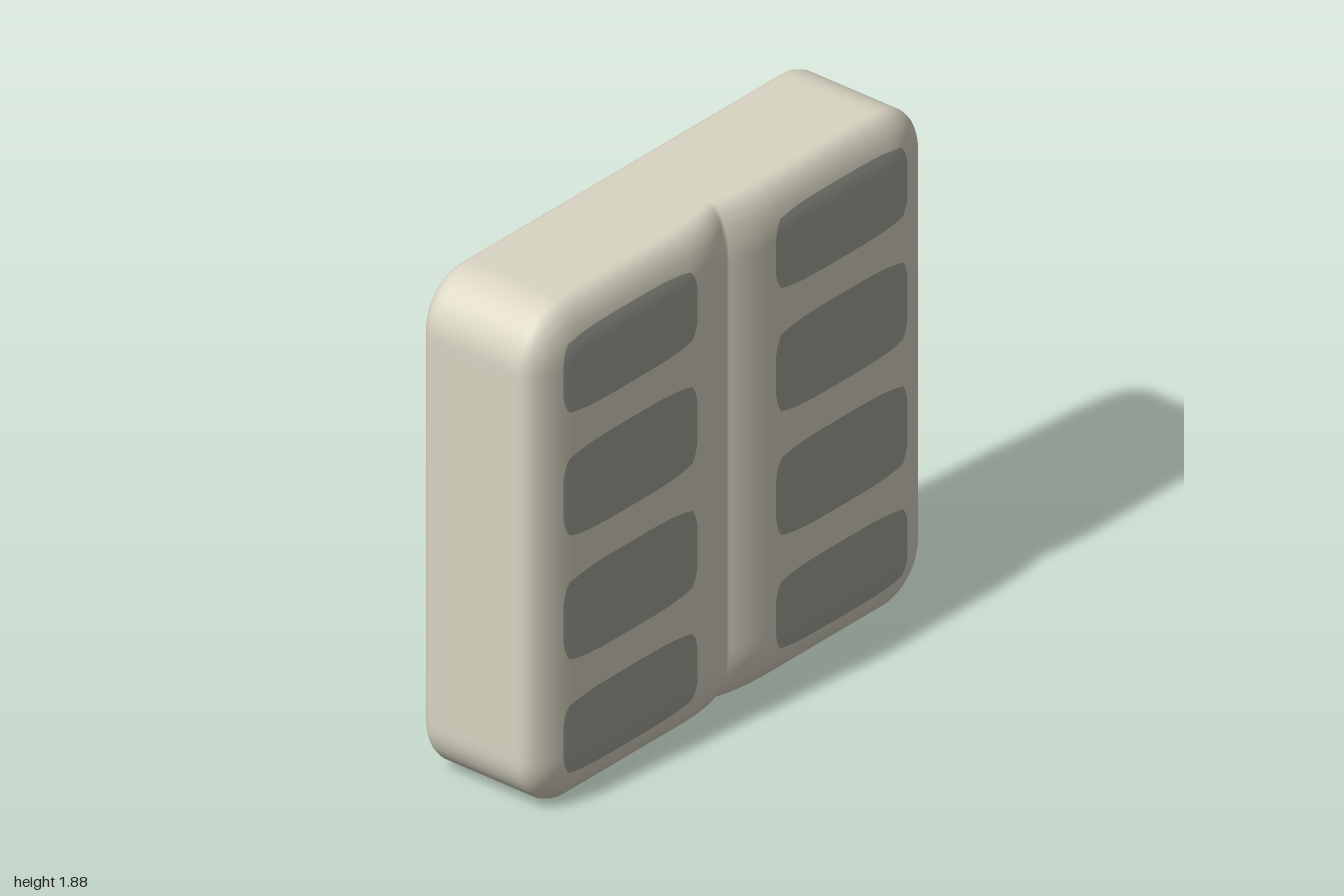
import * as THREE from 'three';
import { mergeVertices } from 'three/addons/utils/BufferGeometryUtils.js';

const HALF = new THREE.Vector3(0.277, 0.94, 1);   // half sizes of the block
const RAD = new THREE.Vector3(0.09, 0.2, 0.2);    // elliptical edge rounding
const CORE = HALF.clone().sub(RAD);

// Depth of the V-shaped crease down the middle of the +x face
const crease = (z) => 0.042 * Math.pow(1 - Math.min(Math.abs(z) / 0.24, 1), 2.4);
const creaseScale = (z) => 1 - crease(z) / HALF.x;

// Height of the +x face at a point (y measured from the block's middle)
function faceX(y, z) {
  const qy = Math.max(Math.abs(y) - CORE.y, 0) / RAD.y;
  const qz = Math.max(Math.abs(z) - CORE.z, 0) / RAD.z;
  return (CORE.x + RAD.x * Math.sqrt(Math.max(0, 1 - qy * qy - qz * qz))) * creaseScale(z);
}

// Soft block: a dense box with ellipsoid corners and the crease pressed in
function bodyGeometry() {
  let geo = new THREE.BoxGeometry(2, 2, 2, 26, 72, 76);
  geo.deleteAttribute('uv');
  geo.deleteAttribute('normal');
  geo = mergeVertices(geo);
  const pos = geo.attributes.position;
  const p = new THREE.Vector3(), core = new THREE.Vector3();
  for (let i = 0; i < pos.count; i++) {
    p.fromBufferAttribute(pos, i);
    p.z = Math.sign(p.z) * Math.pow(Math.abs(p.z), 1.3);   // finer rows near the crease
    p.multiply(HALF);
    core.copy(p).clamp(CORE.clone().negate(), CORE);
    p.sub(core).divide(RAD).normalize().multiply(RAD).add(core);
    if (p.x > 0) p.x *= creaseScale(p.z);
    pos.setXYZ(i, p.x, p.y + HALF.y, p.z);
  }
  geo.computeVertexNormals();
  return geo;
}

// Barrel-edged panel lying on the curved face
function padGeometry(y0, y1, side) {
  const geo = new THREE.PlaneGeometry(2, 2, 20, 12);
  const pos = geo.attributes.position;
  const yc = (y0 + y1) / 2, hy = (y1 - y0) / 2, zc = side * 0.535, hz = 0.337;
  for (let i = 0; i < pos.count; i++) {
    const u = pos.getX(i), v = pos.getY(i);
    const y = yc + hy * v * (1 - 0.13 * u ** 4);
    const z = zc - hz * u * (1 - 0.08 * v ** 4);
    pos.setXYZ(i, faceX(y - HALF.y, z) + 0.003, y, z);
  }
  geo.computeVertexNormals();
  return geo;
}

export function createModel() {
  const group = new THREE.Group();
  group.name = 'panelBlock';

  const bodyMat = new THREE.MeshStandardMaterial({ color: 0xdad5c3 });
  const padMat = new THREE.MeshStandardMaterial({ color: 0xa3a39b });

  const body = new THREE.Mesh(bodyGeometry(), bodyMat);
  body.name = 'body';
  group.add(body);

  // Two columns of four panels
  const rows = [[0.11, 0.405], [0.54, 0.875], [1.01, 1.345], [1.48, 1.775]];
  for (const side of [-1, 1]) {
    rows.forEach(([y0, y1], i) => {
      const pad = new THREE.Mesh(padGeometry(y0, y1, side), padMat);
      pad.name = `${side > 0 ? 'front' : 'back'}Panel${i + 1}`;
      group.add(pad);
    });
  }
  return group;
}
